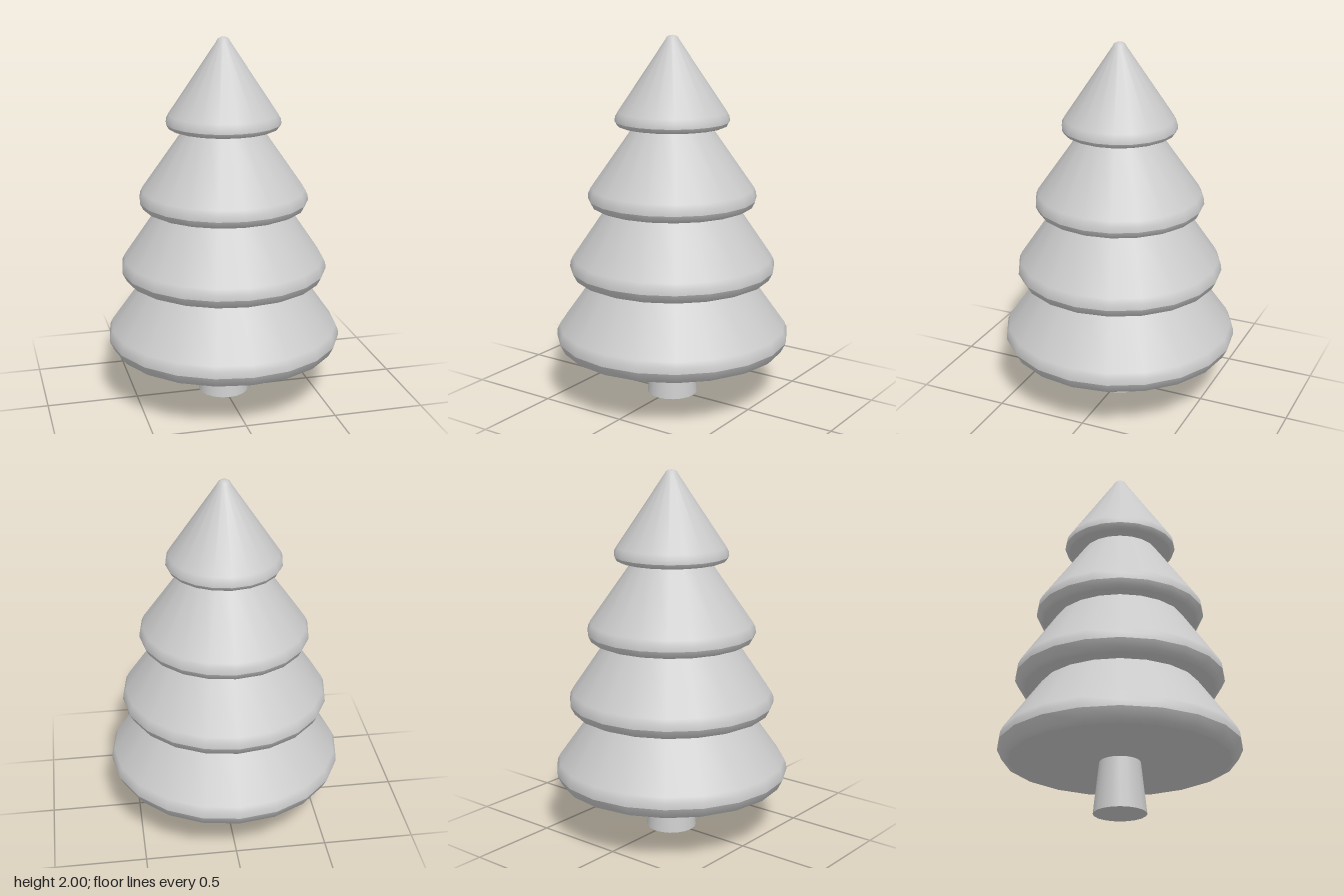
import * as THREE from 'three';

const SIDES = 20;
const material = new THREE.MeshStandardMaterial({ color: 0xcccccc });

// Revolve a profile listed from bottom to top; separate calls keep hard edges.
function revolve(name, points) {
  const profile = points.map(([r, y]) => new THREE.Vector2(r, y));
  const mesh = new THREE.Mesh(new THREE.LatheGeometry(profile, SIDES), material);
  mesh.name = name;
  return mesh;
}

// One skirt of branches: flat underside, rounded lip, sloping cone.
function tier(name, { inner, under, lip, shoulder, top }) {
  const group = new THREE.Group();
  group.name = name;
  const [underR, underY] = under;
  const [lipR, lipY] = lip;
  const curve = [underR + (lipR - underR) * 0.55, underY + (lipY - underY) * 0.22];
  const soft = [(lipR * 2 + shoulder[0]) / 3 + 0.003, (lipY + shoulder[1]) / 2];
  group.add(
    revolve(name + 'Underside', [[inner, underY], under]),
    revolve(name + 'Lip', [under, curve, lip]),
    revolve(name + 'Slope', [lip, soft, shoulder, ...top])
  );
  return group;
}

export function createModel() {
  const tree = new THREE.Group();
  tree.name = 'tree';

  // Tapered trunk
  const trunk = new THREE.Mesh(new THREE.CylinderGeometry(0.108, 0.14, 0.29, SIDES), material);
  trunk.name = 'trunk';
  trunk.position.y = 0.145;
  tree.add(trunk);

  // Branch tiers, bottom to top
  const tiers = [
    { inner: 0, under: [0.585, 0.275], lip: [0.645, 0.343], shoulder: [0.628, 0.405], top: [[0.432, 0.68]] },
    { inner: 0.432, under: [0.515, 0.68], lip: [0.565, 0.735], shoulder: [0.548, 0.795], top: [[0.354, 1.08]] },
    { inner: 0.354, under: [0.425, 1.08], lip: [0.46, 1.122], shoulder: [0.444, 1.18], top: [[0.208, 1.517]] },
    { inner: 0.208, under: [0.285, 1.517], lip: [0.31, 1.543], shoulder: [0.294, 1.593],
      top: [[0.039, 1.973], [0.03, 1.99], [0.016, 1.998], [0, 2]] }
  ];
  const names = ['bottomTier', 'lowerTier', 'upperTier', 'topTier'];
  tiers.forEach((spec, i) => tree.add(tier(names[i], spec)));

  return tree;
}
